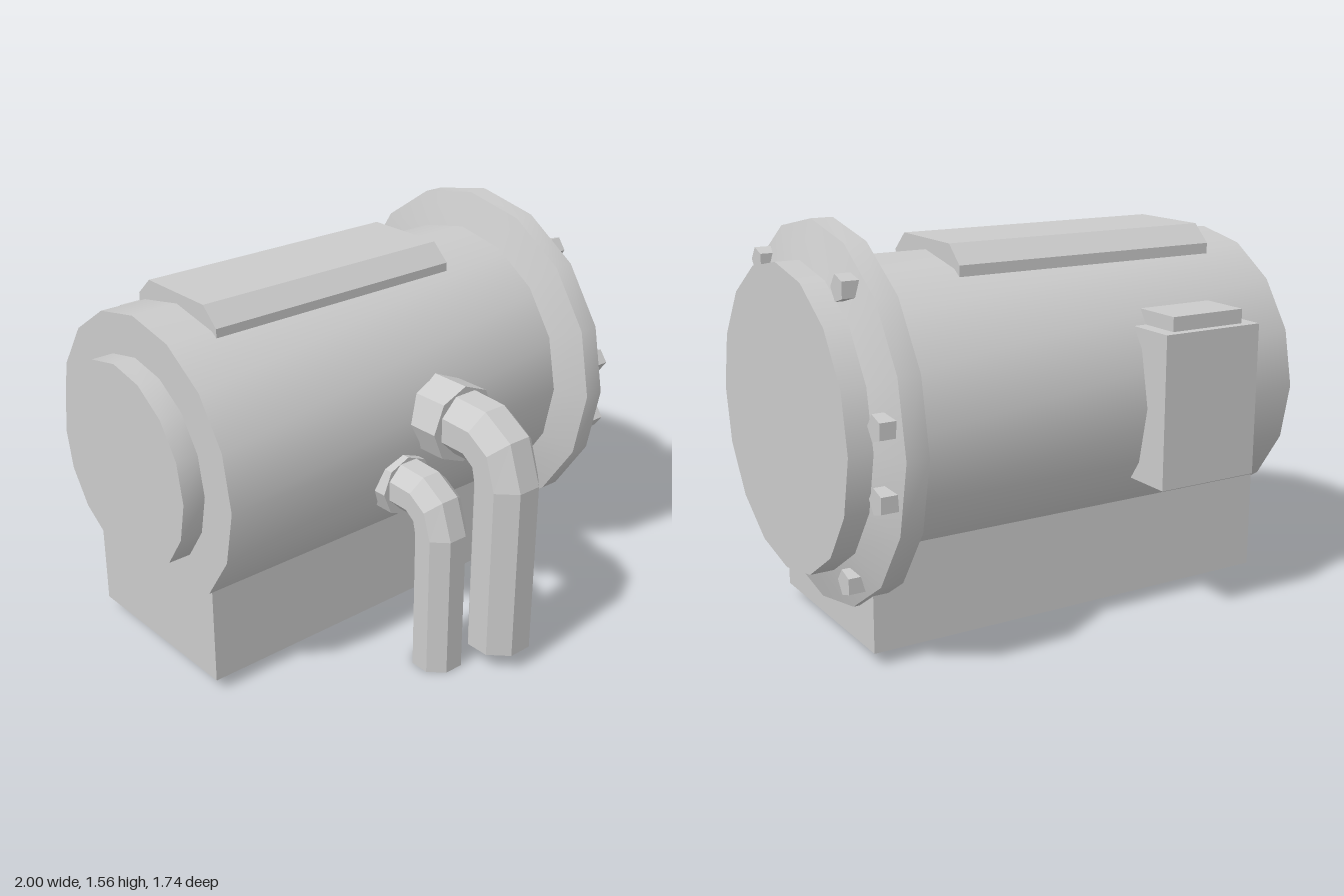
import * as THREE from 'three';
import { toCreasedNormals } from 'three/addons/utils/BufferGeometryUtils.js';

const AXIS_Y = 0.85, AXIS_Z = -0.16;

export function createModel() {
  const group = new THREE.Group();
  const smooth = new THREE.MeshStandardMaterial({ color: 0xcccccc });
  const flat = new THREE.MeshStandardMaterial({ color: 0xcccccc, flatShading: true });

  const add = (name, geometry, material = flat) => {
    const mesh = new THREE.Mesh(geometry, material);
    mesh.name = name;
    group.add(mesh);
    return mesh;
  };

  // Box given by its minimum and maximum corners
  const box = (name, [x0, y0, z0], [x1, y1, z1]) =>
    add(name, new THREE.BoxGeometry(x1 - x0, y1 - y0, z1 - z0))
      .position.set((x0 + x1) / 2, (y0 + y1) / 2, (z0 + z1) / 2);

  // Solid of revolution about the tank axis; profile is [x, radius], x increasing
  const turned = (name, profile) => {
    const points = profile.map(([x, r]) => new THREE.Vector2(r, x));
    const geometry = new THREE.LatheGeometry(points, 16).rotateZ(-Math.PI / 2);
    geometry.translate(0, AXIS_Y, AXIS_Z);
    add(name, toCreasedNormals(geometry, 0.5), smooth);
  };

  turned('tankBody', [[-0.91, 0], [-0.91, 0.567], [1, 0.567], [1, 0]]);
  turned('endCap', [[-1, 0], [-1, 0.405], [-0.9, 0.405]]);
  turned('flange', [[0.73, 0.56], [0.775, 0.71], [0.86, 0.71], [0.91, 0.56]]);

  // Five-sided bolt heads around the flange, as [y, z]
  const bolts = [[1.37, 0.195], [1.37, -0.52], [0.95, 0.46], [0.95, -0.78],
    [0.70, 0.46], [0.70, -0.78], [0.325, 0.185], [0.325, -0.51]];
  for (const [y, z] of bolts) {
    const head = new THREE.CylinderGeometry(0.05, 0.05, 0.07, 5).rotateZ(-Math.PI / 2);
    add('flangeBolt', head).position.set(0.895, y, z);
  }

  box('base', [-0.89, 0.05, -0.545], [0.835, 0.55, 0.23]);

  // Chamfered plate on top, extruded along x
  const plate = new THREE.Shape([[0.25, 1.3], [0.25, 1.39], [0.175, 1.46],
    [-0.175, 1.46], [-0.25, 1.39], [-0.25, 1.3]].map(([z, y]) => new THREE.Vector2(z, y)));
  const plateGeometry = new THREE.ExtrudeGeometry(plate, { depth: 1.125, bevelEnabled: false });
  plateGeometry.rotateY(Math.PI / 2);
  add('topPlate', plateGeometry).position.set(-0.72, 0, -0.165);

  // Junction box with lid at the back
  box('junctionBox', [-0.64, 0.56, -0.83], [-0.21, 1.145, -0.5]);
  box('junctionBoxLid', [-0.585, 1.1, -0.795], [-0.265, 1.2, -0.5]);

  // Octagonal pipe; stations are [z, y, angle of travel below horizontal]
  const pipe = (name, x, radius, stations) => {
    const positions = [], index = [], n = 8;
    for (const [z, y, a] of stations) {
      for (let i = 0; i < n; i++) {
        const t = ((i + 0.5) / n) * Math.PI * 2;
        const u = Math.sin(t) * radius;
        positions.push(x + Math.cos(t) * radius, y + u * Math.cos(a), z + u * Math.sin(a));
      }
    }
    for (let s = 0; s < stations.length - 1; s++) {
      for (let i = 0; i < n; i++) {
        const a = s * n + i, b = s * n + (i + 1) % n;
        index.push(a, b, b + n, a, b + n, a + n);
      }
    }
    // Close the lower end
    const last = (stations.length - 1) * n;
    for (let i = 1; i < n - 1; i++) index.push(last, last + i, last + i + 1);
    const geometry = new THREE.BufferGeometry();
    geometry.setAttribute('position', new THREE.Float32BufferAttribute(positions, 3));
    geometry.setIndex(index);
    const faceted = geometry.toNonIndexed();
    faceted.computeVertexNormals();
    add(name, faceted);
  };

  // Elbow pipe leaving the tank forwards and turning down, with a collar at the tank
  const elbow = (name, x, z, kneeY, bottom, scale, collarR, collarEnd) => {
    const bend = [[-0.22, 0.155, 0], [-0.105, 0.15, 0.25], [-0.03, 0.1, 0.8], [0, 0, Math.PI / 2]]
      .map(([dz, dy, a]) => [z + dz * scale, kneeY + dy * scale, a]);
    const topY = bend[0][1];
    pipe(name, x, 0.128 * scale, [[0.25, topY, 0], ...bend, [z, bottom, Math.PI / 2]]);
    const collar = new THREE.CylinderGeometry(collarR, collarR, collarEnd - 0.25, 8).rotateX(Math.PI / 2);
    add(name + 'Collar', collar).position.set(x, topY - 0.01, (collarEnd + 0.25) / 2);
  };
  elbow('largePipe', 0.097, 0.75, 0.78, 0.075, 1, 0.157, 0.52);
  elbow('smallPipe', -0.105, 0.615, 0.58, 0, 0.8, 0.122, 0.43);

  return group;
}
